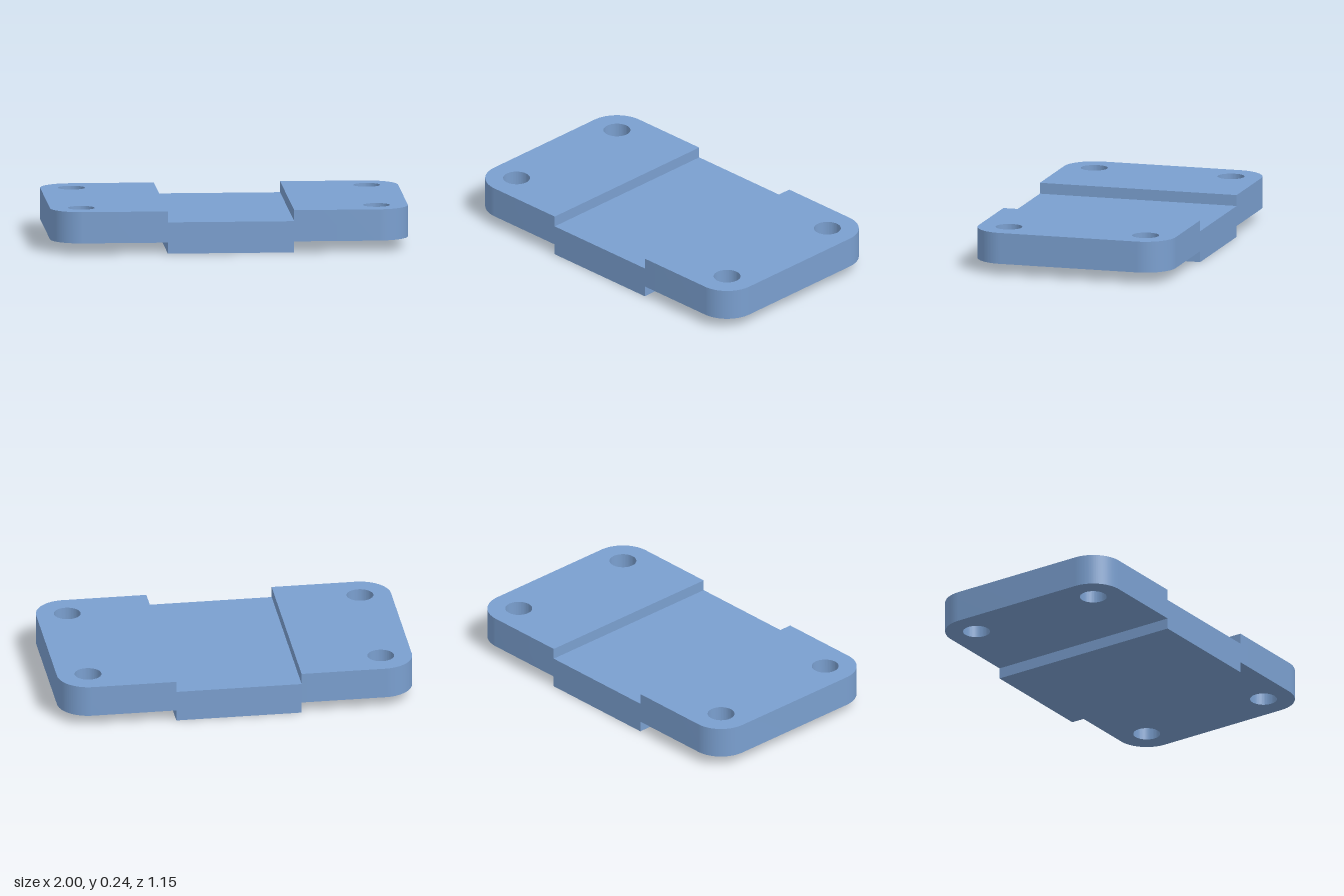
import * as THREE from 'three';
import { toCreasedNormals } from 'three/addons/utils/BufferGeometryUtils.js';

const HALF_DEPTH = 0.573;
const STEP_X = 0.353; // where the lowered middle meets the raised ends
const THICKNESS = 0.176;
const LIFT = 0.062; // height of the end plates above the base
const CORNER = 0.175;
const HOLE_X = 0.825, HOLE_Z = 0.398, HOLE_R = 0.075;

// Plan outline of the +x end plate: rounded outer corners and two bolt holes
function endPlateGeometry() {
  const shape = new THREE.Shape();
  shape.moveTo(STEP_X, -HALF_DEPTH);
  shape.lineTo(1 - CORNER, -HALF_DEPTH);
  shape.absarc(1 - CORNER, -HALF_DEPTH + CORNER, CORNER, -Math.PI / 2, 0, false);
  shape.lineTo(1, HALF_DEPTH - CORNER);
  shape.absarc(1 - CORNER, HALF_DEPTH - CORNER, CORNER, 0, Math.PI / 2, false);
  shape.lineTo(STEP_X, HALF_DEPTH);
  shape.closePath();

  for (const z of [-HOLE_Z, HOLE_Z]) {
    const hole = new THREE.Path();
    hole.absarc(HOLE_X, z, HOLE_R, 0, Math.PI * 2, true);
    shape.holes.push(hole);
  }

  const geometry = new THREE.ExtrudeGeometry(shape, {
    depth: THICKNESS, bevelEnabled: false, curveSegments: 32,
  });
  geometry.rotateX(-Math.PI / 2);
  return toCreasedNormals(geometry, Math.PI / 6);
}

export function createModel() {
  const model = new THREE.Group();
  model.name = 'steppedMountingPlate';

  const steelBlue = new THREE.MeshStandardMaterial({ color: 0x7a9fcf });
  steelBlue.name = 'steel blue';

  // Lowered middle section
  const middle = new THREE.Mesh(
    new THREE.BoxGeometry(STEP_X * 2, THICKNESS, HALF_DEPTH * 2), steelBlue);
  middle.name = 'middlePlate';
  middle.position.y = THICKNESS / 2;
  model.add(middle);

  // Raised end plates, the right one turned half round
  const endGeometry = endPlateGeometry();
  for (const [name, turn] of [['leftEndPlate', 0], ['rightEndPlate', Math.PI]]) {
    const end = new THREE.Mesh(endGeometry, steelBlue);
    end.name = name;
    end.position.y = LIFT;
    end.rotation.y = turn;
    model.add(end);
  }
  return model;
}
